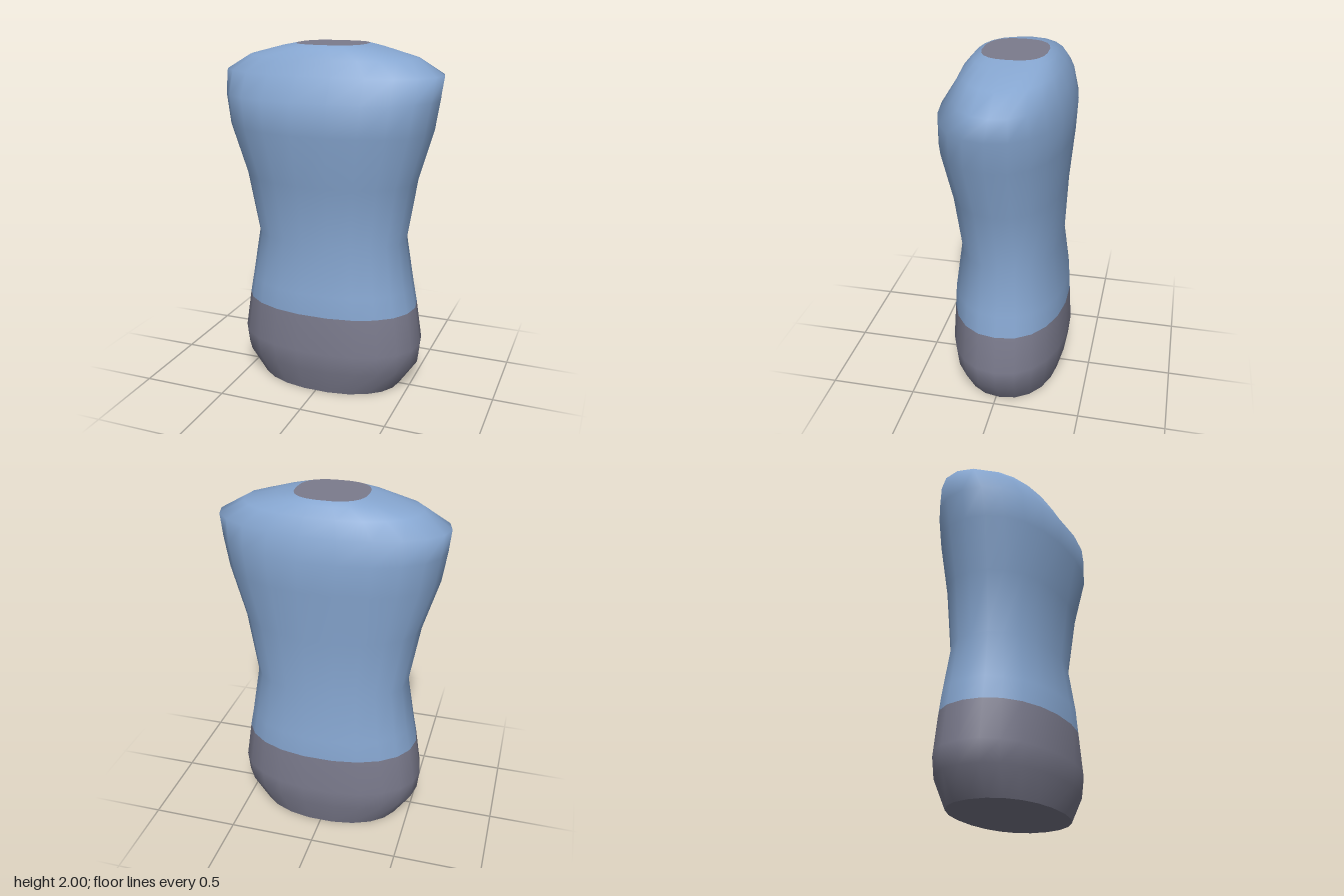
import * as THREE from 'three';

const SEGMENTS = 22;

// Cross-sections from hem to neck: [y, half width, front z, back z, roundness]
const SECTIONS = [
  [0.00, 0.435, 0.265, -0.31, 2.2],
  [0.15, 0.537, 0.31, -0.35, 2.2],
  [0.27, 0.55, 0.325, -0.362, 2.2],
  [0.495, 0.516, 0.312, -0.35, 2.2],
  [0.62, 0.492, 0.306, -0.343, 2.2],
  [0.90, 0.447, 0.267, -0.305, 2.2],
  [1.25, 0.507, 0.31, -0.32, 2.2],
  [1.54, 0.595, 0.366, -0.345, 2.2],
  [1.715, 0.622, 0.362, -0.354, 2.2],
  [1.845, 0.637, 0.28, -0.322, 2.1],
  [1.93, 0.49, 0.235, -0.28, 2.2],
  [1.98, 0.30, 0.19, -0.235, 2.3],
  [2.00, 0.20, 0.15, -0.20, 2.6],
];
const WAIST_ROW = 3; // the lower garment ends at this section

// Points of one rounded cross-section, counterclockwise from above
function ring([y, w, front, back, n]) {
  const zc = (front + back) / 2, d = (front - back) / 2;
  const bend = (v) => Math.sign(v) * Math.pow(Math.abs(v), 2 / n);
  return Array.from({ length: SEGMENTS }, (_, j) => {
    const a = ((j + 0.5) / SEGMENTS) * Math.PI * 2;
    // a half-step start keeps one point on each side and an even front edge
    return [w * bend(Math.sin(a)), y, zc + (d / Math.pow(Math.cos(Math.PI / SEGMENTS), 2 / n)) * bend(Math.cos(a))];
  });
}

// Smooth skin through all sections, with one material group per garment
function bodyGeometry() {
  const index = [];
  for (let i = 0; i < SECTIONS.length - 1; i++) {
    for (let j = 0; j < SEGMENTS; j++) {
      const k = (j + 1) % SEGMENTS;
      const a = i * SEGMENTS + j, b = i * SEGMENTS + k;
      index.push(a, b, b + SEGMENTS, a, b + SEGMENTS, a + SEGMENTS);
    }
  }
  const geo = new THREE.BufferGeometry();
  geo.setAttribute('position', new THREE.Float32BufferAttribute(SECTIONS.flatMap((s) => ring(s).flat()), 3));
  geo.setIndex(index);
  geo.computeVertexNormals();
  const split = WAIST_ROW * SEGMENTS * 6;
  geo.addGroup(0, split, 0);
  geo.addGroup(split, index.length - split, 1);
  return geo;
}

// Flat lid over an end section
function capGeometry(section, up) {
  const pts = ring(section);
  const index = [];
  for (let j = 1; j < SEGMENTS - 1; j++) index.push(0, up ? j : j + 1, up ? j + 1 : j);
  const geo = new THREE.BufferGeometry();
  geo.setAttribute('position', new THREE.Float32BufferAttribute(pts.flat(), 3));
  geo.setIndex(index);
  geo.computeVertexNormals();
  return geo;
}

export function createModel() {
  const blue = new THREE.MeshStandardMaterial({ color: 0x86a6d0 });
  blue.name = 'shirt blue';
  const grey = new THREE.MeshStandardMaterial({ color: 0x7b7b8d });
  grey.name = 'trouser grey';

  const group = new THREE.Group();
  group.name = 'torso';
  const add = (name, geo, mat) => {
    const mesh = new THREE.Mesh(geo, mat);
    mesh.name = name;
    group.add(mesh);
  };
  add('torsoSkin', bodyGeometry(), [grey, blue]);
  add('hipBase', capGeometry(SECTIONS[0], false), grey);
  add('neckOpening', capGeometry(SECTIONS[SECTIONS.length - 1], true), grey);
  return group;
}
